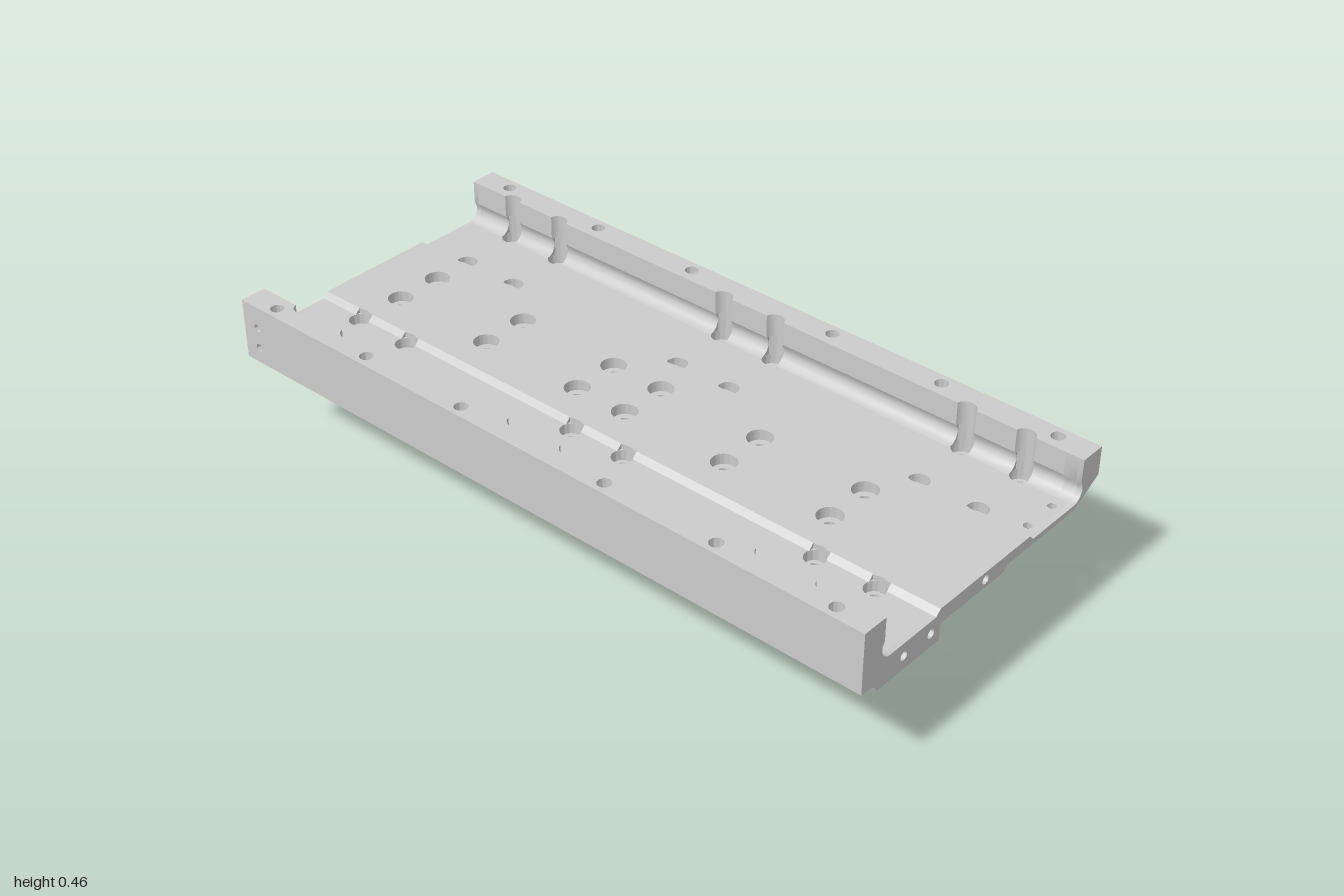
import * as THREE from 'three';
import { toCreasedNormals } from 'three/addons/utils/BufferGeometryUtils.js';

const material = new THREE.MeshStandardMaterial({ color: 0xcccccc });

// Extrude an outline with round holes [x, y, r] or slots [x, y, r, halfLength along x]
function extrude(points, holes, depth) {
  const shape = new THREE.Shape(points.map(([x, y]) => new THREE.Vector2(x, y)));
  for (const [x, y, r, half = 0] of holes) {
    const path = new THREE.Path();
    path.absarc(x + half, y, r, -Math.PI / 2, Math.PI / 2, false);
    path.absarc(x - half, y, r, Math.PI / 2, Math.PI * 1.5, false);
    shape.holes.push(path);
  }
  return new THREE.ExtrudeGeometry(shape, { depth, bevelEnabled: false, curveSegments: 10 });
}
function add(parent, name, geometry) {
  const mesh = new THREE.Mesh(toCreasedNormals(geometry, 0.5), material);
  mesh.name = name;
  parent.add(mesh);
  return mesh;
}
// Outline in (x, z), thickness along y
function plan(parent, name, pts, y0, y1, holes = []) {
  const g = extrude(pts.map(([x, z]) => [x, -z]), holes.map(([x, z, ...r]) => [x, -z, ...r]), y1 - y0);
  return add(parent, name, g.rotateX(-Math.PI / 2).translate(0, y0, 0));
}
// Outline in (z, y), thickness along x
function side(parent, name, pts, x0, x1, holes = []) {
  const g = extrude(pts.map(([z, y]) => [-z, y]), holes.map(([z, y, ...r]) => [-z, y, ...r]), x1 - x0);
  return add(parent, name, g.rotateY(Math.PI / 2).translate(x0, 0, 0));
}
// Outline in (x, y), thickness along z
function section(parent, name, pts, z0, z1, holes = []) {
  return add(parent, name, extrude(pts, holes, z1 - z0).translate(0, 0, z0));
}
function box(parent, name, x0, x1, y0, y1, z0, z1) {
  return add(parent, name, new THREE.BoxGeometry(x1 - x0, y1 - y0, z1 - z0)
    .translate((x0 + x1) / 2, (y0 + y1) / 2, (z0 + z1) / 2));
}
const rect = (a0, a1, b0, b1) => [[a0, b0], [a1, b0], [a1, b1], [a0, b1]];
const mirror = (pts) => pts.map(([x, ...rest]) => [-x, ...rest]);

const END = 0.985, NOTCH = 0.95;
const BORE = 0.028, BOLT = 0.0165;
const sideZ = [-0.85, -0.675, -0.09, 0.08, 0.67, 0.84];
const midZ = [-0.83, -0.51, -0.19, -0.03, 0.29, 0.61];
const rimZ = [-0.9, -0.567, -0.235, 0.23, 0.565, 0.9];
const U_OUT = 0.3715, U_IN = 0.1965, U_MID = 0.067;

// Straight edge along z, scalloped where the counterbores at x = hx cut it
function scallopedEdge(x, z0, z1, hx) {
  const d = x - hx, a = Math.acos(Math.min(1, Math.abs(d) / BORE));
  const pts = [[x, z0]];
  for (const z of sideZ)
    for (let i = 0; i <= 10; i++) {
      const t = a * (i / 5 - 1);
      pts.push([hx + Math.sign(d) * BORE * Math.cos(t), z + BORE * Math.sin(t)]);
    }
  return [...pts, [x, z1]];
}
const holesAt = (u, zs, r) => zs.flatMap((z) => [[u, z, r], [-u, z, r]]);

function buildBed() {
  const bed = new THREE.Group();
  bed.name = 'channelBed';
  bed.position.x = -0.0655;

  // Half cross-section: inner surface, underside and the relieved underside at the front
  const fillet = [[0.355, 0.337], [0.366, 0.339], [0.377, 0.347], [0.385, 0.363], [0.385, 0.375], [0.3775, 0.39]];
  const upper = [[0.1725, 0.352], [0.187, 0.337], ...fillet, [0.3775, 0.455], [0.4515, 0.455]];
  const corner = [[0.415, 0.285], [0.408, 0.28], [0.401, 0.272], [0.397, 0.262]];
  const lower = [[0.4515, 0.285], ...corner, [0.1695, 0.262], [0.1695, 0.308]];
  const relief = [[0.4515, 0.375], [0.355, 0.322], [0.0855, 0.322], [0.0755, 0.308]];
  const left = [...mirror([...lower].reverse()), ...mirror([...upper].reverse())];
  const endHoles = [[-0.302, 0.3, 0.012], [-0.203, 0.3, 0.012], [0, 0.33, 0.012]];
  section(bed, 'frontEnd', [...upper, ...relief, ...left], END, 1, endHoles);
  section(bed, 'backEnd', [...upper, ...lower, ...left], -1, -END, mirror(endHoles));
  section(bed, 'relievedWall', [[0.355, 0.322], ...fillet, [0.3775, 0.455], [0.4515, 0.455], [0.4515, 0.375]], NOTCH, END);

  // Floor in layers so the bolt holes are counterbored
  const bores = [...holesAt(U_OUT, sideZ, BORE), ...holesAt(U_IN, sideZ, BORE)];
  const stepped = (x) => [[-0.4395, -END], [0.4395, -END], [0.4395, NOTCH], [x, NOTCH], [x, END], [-0.4395, END]];
  plan(bed, 'floorUpper', stepped(0.355), 0.322, 0.337,
    [...bores, ...holesAt(U_MID, midZ, 0.034), [0.2205, 0.962, 0.011], [0.3205, 0.962, 0.011]]);
  plan(bed, 'floorLower', stepped(0.0755), 0.308, 0.322, [...bores, ...holesAt(U_MID, midZ, BOLT)]);
  const ridge = scallopedEdge(0.1725, -END, END, U_IN);
  plan(bed, 'centreRidge', [...ridge, ...mirror(ridge).reverse()], 0.337, 0.352, holesAt(U_MID, midZ, 0.034));

  for (const s of [1, -1]) {
    const z1 = s > 0 ? NOTCH : END;
    const flip = (pts) => (s > 0 ? pts : mirror(pts));
    const bolts = [U_OUT, U_IN].flatMap((u) => sideZ.map((z) => [s * u, z, BOLT]));

    // Side wall: scalloped, with blind holes in the rim
    const wall = (x) => flip([...scallopedEdge(x, -END, z1, U_OUT), [0.4395, z1], [0.4395, -END]]);
    plan(bed, 'wallUpper', wall(0.3775), 0.39, 0.455, rimZ.map((z) => [s * 0.4195, z, 0.018]));
    plan(bed, 'wallLower', wall(0.387), 0.337, 0.39);
    const sideHoles = s > 0
      ? [[0.84, 0.39, 0.012], [0.365, 0.39, 0.012], [-0.95, 0.39, 0.012]]
      : [[-0.95, 0.39, 0.011], [-0.95, 0.33, 0.011]];
    const x0 = s > 0 ? 0.4395 : -0.4515;
    side(bed, 'wallOuterFace', rect(-END, z1, 0.285, 0.455), x0, x0 + 0.012, sideHoles);

    // Foot rail under the wall
    plan(bed, 'railUpper', flip(rect(0.1695, 0.4395, -END, z1)), 0.285, 0.308, bolts);
    plan(bed, 'railLower', flip(rect(0.1695, 0.39, -END, z1)), 0.262, 0.285, bolts);
    section(bed, 'railCorner', flip([[0.39, 0.262], [0.39, 0.285], ...corner]), -END, z1);

    // Fillet and ridge chamfer run between the counterbores
    const stops = [-END, ...sideZ.flatMap((z) => [z - 0.025, z + 0.025]), END];
    for (let i = 0; i < stops.length; i += 2) {
      const end = Math.min(stops[i + 1], z1);
      section(bed, 'wallFillet', flip([[0.387, 0.337], ...fillet, [0.387, 0.39]]), stops[i], end);
      section(bed, 'ridgeChamfer', flip([[0.1725, 0.337], [0.1725, 0.352], [0.187, 0.337]]), stops[i], stops[i + 1]);
    }
  }
  return bed;
}

// Stop block with vertical mounting slots and two side bores
function buildBlock() {
  const block = new THREE.Group();
  block.name = 'stopBlock';
  plan(block, 'blockBody', rect(0.386, 0.45, 0.44, 0.685), 0.245, 0.375,
    [[0.416, 0.475, 0.014, 0.014], [0.416, 0.65, 0.014, 0.014]]);
  side(block, 'blockFace', rect(0.44, 0.685, 0.245, 0.375), 0.45, 0.48,
    [[0.6, 0.335, 0.026], [0.535, 0.335, 0.026]]);
  return block;
}

// Bent sheet bracket carrying the flag
function buildBracket() {
  const bracket = new THREE.Group();
  bracket.name = 'flagBracket';
  side(bracket, 'mountTab', [[-0.325, 0.365], [-0.325, 0.42], [-0.34, 0.435], [-0.455, 0.435], [-0.47, 0.42], [-0.47, 0.365]],
    0.386, 0.394, [[-0.365, 0.405, 0.013], [-0.43, 0.405, 0.013]]);
  box(bracket, 'shelf', 0.386, 0.468, 0.365, 0.373, -0.47, -0.325);
  side(bracket, 'flag', [[-0.325, 0.37], [-0.325, 0.25], [-0.335, 0.24], [-0.362, 0.24], [-0.362, 0.07], [-0.427, 0.07],
    [-0.427, 0.24], [-0.46, 0.24], [-0.47, 0.25], [-0.47, 0.37]], 0.461, 0.468);
  return bracket;
}

// L-shaped plate with two slotted sensors facing opposite ways
function buildSensors() {
  const unit = new THREE.Group();
  unit.name = 'sensorUnit';
  const zs = [-0.585, -0.3, -0.055];
  plan(unit, 'basePlate', [[0.385, -0.61], [0.5, -0.61], [0.513, -0.597], [0.513, -0.048], [0.5, -0.035], [0.385, -0.035]],
    0, 0.009, zs.flatMap((z) => [[0.44, z, 0.011], [0.487, z, 0.011]]));
  side(unit, 'plateLip', [[-0.035, 0.005], [-0.035, 0.058], [-0.048, 0.071], [-0.597, 0.071], [-0.61, 0.058], [-0.61, 0.005]],
    0.385, 0.392, [-0.065, -0.283, -0.352, -0.572].map((z) => [z, 0.041, 0.014]));
  for (const [s, z] of [[1, -0.25], [-1, -0.39]]) {
    const sensor = new THREE.Group();
    sensor.name = 'slotSensor';
    sensor.position.z = z;
    sensor.scale.z = 1;
    if (s < 0) { sensor.rotation.y = Math.PI; sensor.position.x = 0.93; }
    plan(sensor, 'sensorBody', rect(0.42, 0.51, -0.055, 0.07), 0.018, 0.055,
      [[0.443, -0.037, 0.011], [0.487, -0.037, 0.011]]);
    box(sensor, 'sensorFoot', 0.425, 0.505, 0.009, 0.018, -0.02, 0.07);
    box(sensor, 'innerPost', 0.42, 0.447, 0.055, 0.114, -0.02, 0.022);
    box(sensor, 'outerPost', 0.483, 0.51, 0.055, 0.114, -0.02, 0.022);
    for (let i = 0; i < 5; i++)
      box(sensor, 'pin', 0.43 + i * 0.0155, 0.438 + i * 0.0155, 0.032, 0.037, 0.07, 0.11);
    unit.add(sensor);
  }
  return unit;
}

export function createModel() {
  const model = new THREE.Group();
  model.name = 'linearStageBed';
  model.add(buildBed(), buildBlock(), buildBracket(), buildSensors());
  return model;
}
